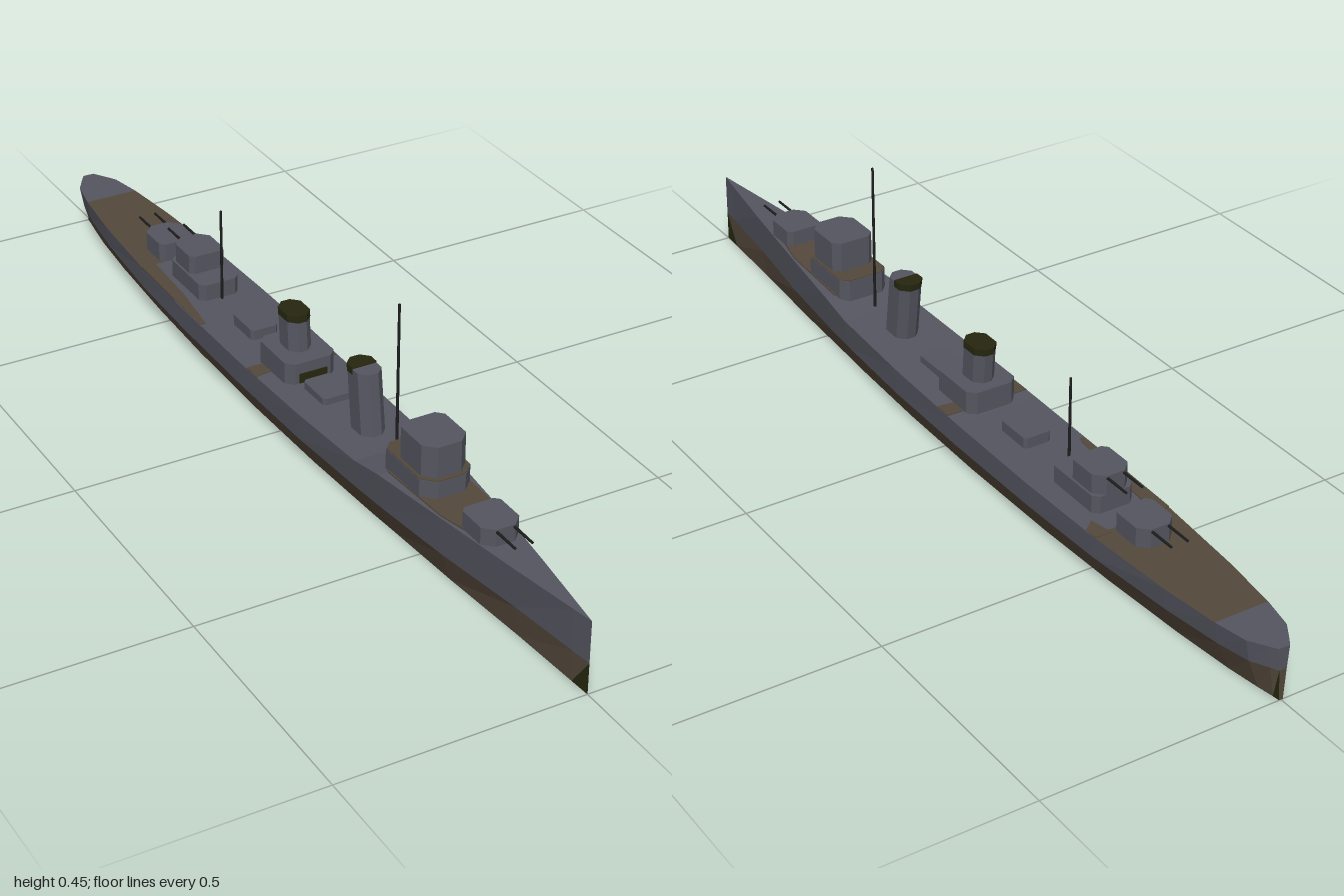
import * as THREE from 'three';

const paint = (name, color) => Object.assign(new THREE.MeshStandardMaterial({ color, flatShading: true }), { name });

// hull stations: z, keel half-width, waterline half-width, deck half-width, deck height
const WATER = 0.065;
const STATIONS = [
  [1, 0, 0, 0, 0.153], [0.955, 0.003, 0.005, 0.007, 0.152], [0.8, 0.012, 0.022, 0.03, 0.15],
  [0.6, 0.027, 0.05, 0.057, 0.147], [0.42, 0.037, 0.068, 0.078, 0.142], [0.34, 0.042, 0.074, 0.082, 0.129],
  [0.13, 0.051, 0.086, 0.089, 0.122], [-0.1, 0.055, 0.09, 0.092, 0.117], [-0.35, 0.053, 0.089, 0.091, 0.114],
  [-0.55, 0.046, 0.083, 0.086, 0.113], [-0.75, 0.034, 0.067, 0.073, 0.112], [-0.88, 0.022, 0.05, 0.058, 0.112],
  [-0.95, 0.012, 0.035, 0.044, 0.112], [-0.985, 0.006, 0.016, 0.022, 0.112], [-1, 0.004, 0.008, 0.012, 0.112],
];

export function createModel() {
  const ship = new THREE.Group();
  ship.name = 'warship';
  const grey = paint('hull grey', 0x54555f);
  const brown = paint('rust brown', 0x54483b);
  const olive = paint('dark olive', 0x26270f);
  const black = paint('gun black', 0x1c1c1c);

  const add = (name, geometry, material, parent = ship) => {
    const mesh = new THREE.Mesh(geometry, material);
    mesh.name = name;
    parent.add(mesh);
    return mesh;
  };

  // upright prism from an [x, z] outline
  const prism = (outline, y0, y1) => {
    const shape = new THREE.Shape(outline.map(([x, z]) => new THREE.Vector2(x, -z)));
    return new THREE.ExtrudeGeometry(shape, { depth: y1 - y0, bevelEnabled: false })
      .rotateX(-Math.PI / 2).translate(0, y0, 0);
  };

  // rectangle with cut corners; separate cuts for the +z and -z ends
  const cutRect = (w, z0, z1, front, back = front) => [
    [-w, z0 + back], [-w + back, z0], [w - back, z0], [w, z0 + back],
    [w, z1 - front], [w - front, z1], [-w + front, z1], [-w, z1 - front],
  ];

  // hull skin, sorted into colours
  const skin = { topsides: [], bottom: [], deckPaint: [], ends: [] };
  const tri = (list, ...points) => points.forEach((p) => list.push(...p));
  const quad = (list, a, b, c, d) => { tri(list, a, b, c); tri(list, a, c, d); };
  const rings = STATIONS.map(([z, k, w, d, y]) => [
    [-k, 0, z], [k, 0, z], [w, WATER, z], [d, y, z], [-d, y, z], [-w, WATER, z],
  ]);
  const last = rings.length - 1;
  for (let s = 0; s < last; s++) {
    const a = rings[s], b = rings[s + 1];
    for (let i = 0; i < 6; i++) {
      const j = (i + 1) % 6;
      const lower = i < 2 || i === 5;
      if (s === 0 && i === 1) {
        tri(skin.ends, a[1], b[1], a[2]);
        tri(skin.bottom, b[1], b[2], a[2]);
      } else if (s === 0 && i === 5) {
        tri(skin.ends, a[0], a[5], b[0]);
        tri(skin.bottom, a[5], b[5], b[0]);
      } else if (s === last - 1 && i === 1) {
        tri(skin.ends, a[1], b[1], b[2]);
        tri(skin.bottom, a[1], b[2], a[2]);
      } else if (s === last - 1 && i === 5) {
        tri(skin.ends, b[5], b[0], a[0]);
        tri(skin.bottom, a[5], b[5], a[0]);
      } else {
        const painted = i === 3 && a[0][2] <= -0.55 && b[0][2] >= -0.88;
        quad(painted ? skin.deckPaint : lower ? skin.bottom : skin.topsides, a[i], b[i], b[j], a[j]);
      }
    }
  }
  const t = rings[last];
  quad(skin.bottom, t[0], t[5], t[2], t[1]);
  quad(skin.topsides, t[5], t[4], t[3], t[2]);
  const hullColours = { topsides: grey, bottom: brown, deckPaint: brown, ends: olive };
  for (const [name, points] of Object.entries(skin)) {
    const g = new THREE.BufferGeometry();
    g.setAttribute('position', new THREE.Float32BufferAttribute(points, 3));
    g.computeVertexNormals();
    add(name, g, hullColours[name]);
  }

  // thin painted deck patches
  add('rightDeckPatch', prism([[-0.086, -0.55], [-0.055, -0.55], [-0.062, -0.4], [-0.078, -0.27], [-0.0895, -0.27], [-0.089, -0.4]], 0.111, 0.1155), brown);
  add('leftDeckPatch', prism([[0.085, -0.56], [0.05, -0.56], [0.06, -0.51], [0.084, -0.53]], 0.111, 0.1145), brown);
  for (const s of [-1, 1]) {
    add('midDeckPatch', prism([[s * 0.056, -0.07], [s * 0.0905, -0.07], [s * 0.0905, -0.03], [s * 0.056, -0.035]], 0.112, 0.1195), brown);
  }
  const foreDeck = prism([[-0.058, 0.42], [0.058, 0.42], [0.053, 0.6], [0.04, 0.66], [-0.04, 0.66], [-0.053, 0.6]], 0, 0.004);
  const fp = foreDeck.attributes.position;
  for (let i = 0; i < fp.count; i++) {
    fp.setY(i, fp.getY(i) + 0.1405 + (fp.getZ(i) - 0.42) * 0.028);
  }
  foreDeck.computeVertexNormals();
  add('foreDeckPatch', foreDeck, brown);

  // bridge on its lower house
  add('bridgeBase', prism(cutRect(0.054, 0.39, 0.55, 0.025, 0.016), 0.135, 0.183), grey);
  add('bridgeBaseRoof', prism(cutRect(0.053, 0.391, 0.549, 0.025, 0.016), 0.182, 0.185), brown);
  add('bridge', prism(cutRect(0.047, 0.432, 0.54, 0.022, 0.014), 0.184, 0.25), grey);

  // gun turrets with twin barrels; dir is the way the guns point
  const turret = (name, z, y0, y1, dir) => {
    const group = new THREE.Group();
    group.name = name;
    group.position.z = z;
    if (dir < 0) group.rotation.y = Math.PI;
    add('gunHouse', prism(cutRect(0.04, -0.045, 0.045, 0.02, 0.01), y0, y1), grey, group);
    for (const x of [-0.018, 0.018]) {
      const barrel = add('barrel', new THREE.CylinderGeometry(0.0025, 0.003, 0.085, 6).rotateX(Math.PI / 2), black, group);
      barrel.position.set(x, y1 - 0.005, 0.06);
    }
    ship.add(group);
  };
  turret('foreTurret', 0.685, 0.143, 0.184, 1);
  turret('upperAftTurret', -0.455, 0.148, 0.19, -1);
  turret('lowerAftTurret', -0.595, 0.11, 0.153, -1);
  add('aftHouse', prism(cutRect(0.045, -0.5, -0.355, 0.012), 0.11, 0.15), grey);

  // raked funnels: long octagons leaning aft
  const rake = (g, y0, slope) => {
    const p = g.attributes.position;
    for (let i = 0; i < p.count; i++) p.setZ(i, p.getZ(i) - (p.getY(i) - y0) * slope);
    g.computeVertexNormals();
    return g;
  };
  add('foreFunnel', rake(prism(cutRect(0.026, 0.214, 0.285, 0.016), 0.12, 0.254), 0.12, 0.13), grey);
  add('foreFunnelSoot', rake(prism([[-0.0265, 0.25], [-0.0265, 0.229], [-0.0105, 0.213], [0.0105, 0.213], [0.0265, 0.229], [0.0265, 0.25]], 0.242, 0.257), 0.12, 0.13), olive);
  add('aftFunnel', rake(prism(cutRect(0.025, -0.07, -0.002, 0.016), 0.16, 0.23), 0.16, 0.08), grey);
  add('aftFunnelCap', rake(prism(cutRect(0.0255, -0.071, -0.001, 0.016), 0.228, 0.243), 0.16, 0.08), olive);

  // midships house and low deck boxes
  add('funnelHouse', prism(cutRect(0.055, -0.095, 0.035, 0.016), 0.11, 0.165), grey);
  add('houseShadowPanel', new THREE.BoxGeometry(0.06, 0.02, 0.004).translate(0, 0.132, 0.036), olive);
  add('foreDeckBox', prism(cutRect(0.031, 0.05, 0.134, 0.006), 0.115, 0.136), grey);
  add('aftDeckBox', prism(cutRect(0.03, -0.247, -0.162, 0.006), 0.11, 0.138), grey);

  // masts
  for (const [name, z, y0, y1] of [['foreMast', 0.355, 0.125, 0.447], ['aftMast', -0.35, 0.11, 0.316]]) {
    add(name, new THREE.CylinderGeometry(0.0025, 0.003, y1 - y0, 6).translate(0, (y0 + y1) / 2, z), black);
  }
  return ship;
}
